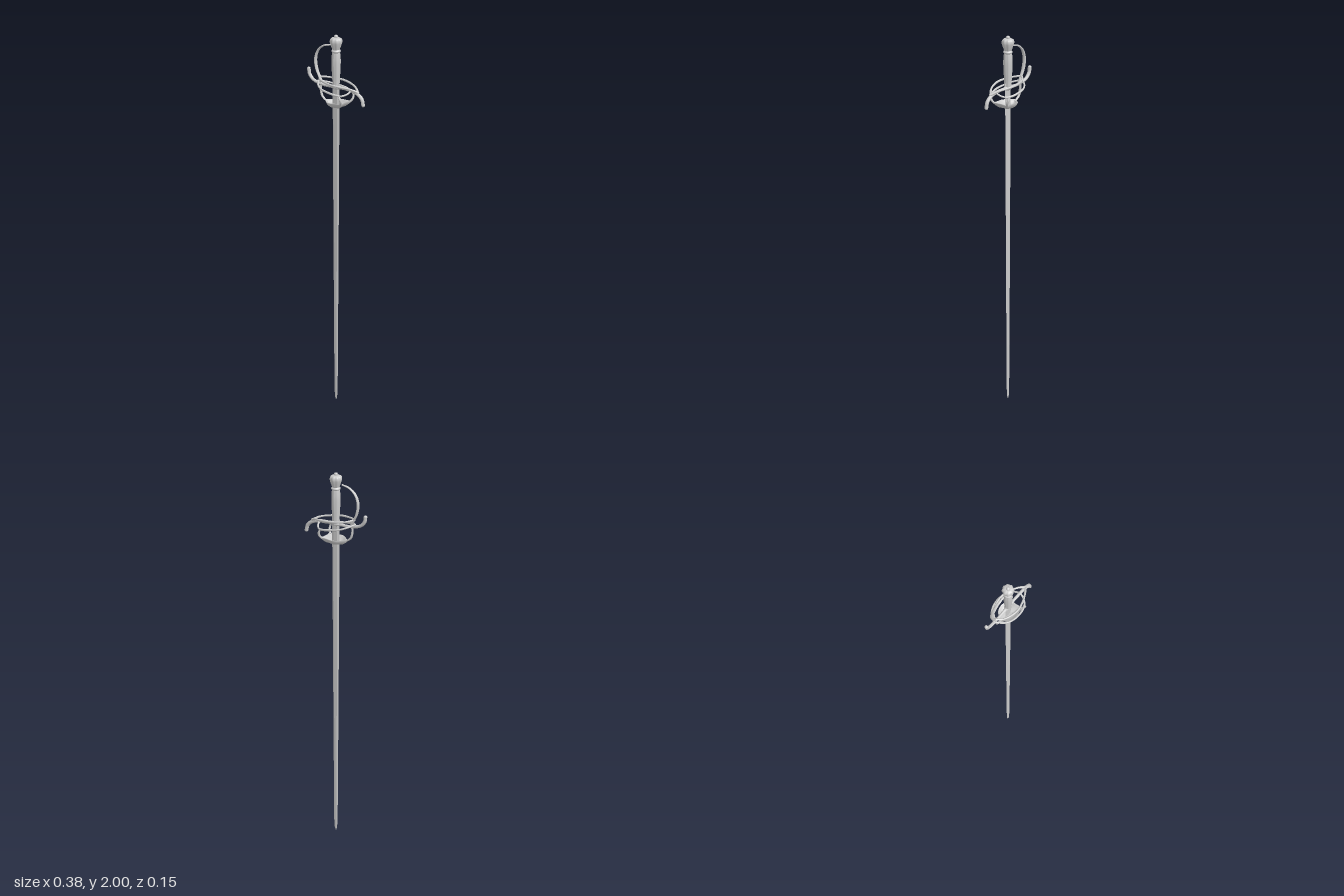
import * as THREE from 'three';

const steel = new THREE.MeshStandardMaterial({ color: 0xcccccc, side: THREE.DoubleSide });
const facetedSteel = new THREE.MeshStandardMaterial({ color: 0xcccccc, flatShading: true });

const V = (p) => new THREE.Vector3(...p);
const mix = (list, t) => {
  const f = t * (list.length - 1), i = Math.min(Math.floor(f), list.length - 2);
  return THREE.MathUtils.lerp(list[i], list[i + 1], f - i);
};

function add(group, name, geometry, material = steel) {
  const mesh = new THREE.Mesh(geometry, material);
  mesh.name = name;
  group.add(mesh);
  return mesh;
}

// Bar swept along points, its radius following a list; flat widens it across z
function bar(group, name, points, radii, flat = 1, segments = 48) {
  const curve = new THREE.CatmullRomCurve3(points.map(V));
  const sides = 10;
  const geo = new THREE.TubeGeometry(curve, segments, 1, sides);
  const pos = geo.attributes.position, v = new THREE.Vector3();
  for (let i = 0; i < pos.count; i++) {
    const t = Math.floor(i / (sides + 1)) / segments;
    const c = curve.getPointAt(t);
    v.fromBufferAttribute(pos, i).sub(c).multiplyScalar(mix(radii, t));
    v.z *= flat;
    v.add(c);
    pos.setXYZ(i, v.x, v.y, v.z);
  }
  geo.computeVertexNormals();
  const mesh = add(group, name, geo);
  // Rounded ends
  [[points[0], radii[0]], [points.at(-1), radii.at(-1)]].forEach(([p, r]) => {
    const end = add(mesh, name + 'End', new THREE.SphereGeometry(r, 12, 8));
    end.position.set(...p);
    end.scale.z = flat;
  });
  return mesh;
}

// Turned part from [radius, y] points, optionally fluted around the axis
function turned(group, name, profile, lobes = 0, depth = 0) {
  const curve = new THREE.SplineCurve(profile.map((p) => new THREE.Vector2(...p)));
  const points = curve.getPoints(40).map((p) => new THREE.Vector2(Math.max(p.x, 0), p.y));
  const geo = new THREE.LatheGeometry(points, 48);
  const pos = geo.attributes.position;
  for (let i = 0; i < pos.count; i++) {
    const x = pos.getX(i), z = pos.getZ(i);
    const k = 1 - depth * (0.5 - 0.5 * Math.cos(lobes * Math.atan2(z, x)));
    pos.setXYZ(i, x * k, pos.getY(i), z * k);
  }
  geo.computeVertexNormals();
  return add(group, name, geo);
}

// Six-sided tapering blade, running up through the guard to the grip
function blade(group) {
  const stations = [[0, 0.001, 0.001], [0.015, 0.007, 0.003], [0.06, 0.0105, 0.004],
    [0.6, 0.015, 0.005], [1.2, 0.0195, 0.006], [1.6, 0.0225, 0.007], [1.74, 0.0235, 0.009]];
  const n = stations.length - 1;
  const geo = new THREE.CylinderGeometry(1, 1, n, 6, n, false, Math.PI / 2);
  const pos = geo.attributes.position;
  for (let i = 0; i < pos.count; i++) {
    const [y, w, t] = stations[Math.round(pos.getY(i) + n / 2)];
    pos.setXYZ(i, pos.getX(i) * w, y, pos.getZ(i) * t);
  }
  add(group, 'blade', geo, facetedSteel);
}

// Leaf-shaped dish, pointed on one side and notched on the other
function shell(group) {
  const half = [[0, 0.052], [0.035, 0.047], [0.064, 0.045], [0.063, 0.025]];
  const back = [[-0.07, 0], [-0.052, 0.02], [-0.03, 0.043]];
  const rimPoints = [...half, [0.06, 0], ...half.slice().reverse().map(([x, z]) => [x, -z]),
    ...back.slice(1).reverse().map(([x, z]) => [x, -z]), ...back];
  const rim = new THREE.CatmullRomCurve3(rimPoints.map(([x, z]) => V([x, 0, z])), true);
  const profile = [[0, 1.602], [0.35, 1.603], [0.65, 1.609], [0.88, 1.62], [1, 1.632],
    [0.97, 1.636], [0.84, 1.627], [0.6, 1.616], [0.3, 1.611], [0, 1.61]];
  const segments = 64;
  const geo = new THREE.LatheGeometry(profile.map((p) => new THREE.Vector2(...p)), segments);
  const pos = geo.attributes.position;
  for (let i = 0; i < pos.count; i++) {
    const [k, y] = profile[i % profile.length];
    const p = rim.getPoint((Math.floor(i / profile.length) % segments) / segments);
    pos.setXYZ(i, p.x * k, y + p.x * 0.05 * k, p.z * k);
  }
  geo.computeVertexNormals();
  add(group, 'shell', geo);
}

export function createModel() {
  const sword = new THREE.Group();
  sword.name = 'sword';

  blade(sword);

  // Grip, collar, fluted pommel and its button
  turned(sword, 'grip', [[0.019, 1.71], [0.02, 1.75], [0.023, 1.8], [0.025, 1.855],
    [0.023, 1.89], [0.02, 1.91]], 8, 0.06);
  turned(sword, 'collar', [[0.018, 1.902], [0.024, 1.907], [0.025, 1.913], [0.019, 1.92]]);
  turned(sword, 'pommel', [[0.018, 1.915], [0.022, 1.925], [0.031, 1.95], [0.034, 1.965],
    [0.03, 1.978], [0.018, 1.985], [0, 1.987]], 8, 0.1);
  turned(sword, 'pommelButton', [[0.009, 1.982], [0.0105, 1.99], [0.008, 1.997], [0, 2]]);

  const guard = new THREE.Group();
  guard.name = 'guard';
  sword.add(guard);

  // Curved crossguard, rising on the right and dropping on the left
  bar(guard, 'crossguard', [[-0.18, 1.782, 0], [-0.175, 1.755, 0], [-0.15, 1.728, 0],
    [-0.085, 1.712, 0], [0, 1.714, 0], [0.09, 1.712, 0], [0.145, 1.698, 0],
    [0.171, 1.675, 0], [0.179, 1.645, 0]], [0.01, 0.009, 0.008, 0.008, 0.01, 0.008, 0.009, 0.01, 0.01], 1, 64);
  const block = add(guard, 'guardBlock', new THREE.SphereGeometry(1, 20, 14));
  block.scale.set(0.027, 0.014, 0.018);
  block.position.y = 1.714;

  // Knuckle bow
  bar(guard, 'knuckleBow', [[-0.04, 1.937, 0], [-0.082, 1.926, 0], [-0.119, 1.894, 0],
    [-0.135, 1.845, 0], [-0.127, 1.79, 0], [-0.108, 1.75, 0], [-0.09, 1.715, 0]],
    [0.004, 0.005, 0.006, 0.007, 0.007, 0.006, 0.006], 1.5);

  // Arm from the crossguard down to the tip of the shell
  bar(guard, 'shellArm', [[-0.1, 1.715, 0], [-0.1, 1.68, 0], [-0.09, 1.648, 0],
    [-0.062, 1.626, 0]], [0.006, 0.006, 0.005], 1.2);

  // Side rings and arms, mirrored front and back
  for (const [side, s] of [['front', 1], ['back', -1]]) {
    bar(guard, side + 'UpperRing', [[-0.112, 1.752, 0], [-0.075, 1.746, s * 0.036],
      [0, 1.74, s * 0.058], [0.06, 1.733, s * 0.048], [0.11, 1.725, s * 0.025],
      [0.145, 1.708, 0]], [0.006, 0.005, 0.006, 0.006, 0.005, 0.007]);
    bar(guard, side + 'LowerRing', [[-0.118, 1.728, 0], [-0.085, 1.716, s * 0.042],
      [-0.05, 1.706, s * 0.062], [0, 1.698, s * 0.07], [0.045, 1.69, s * 0.064],
      [0.075, 1.688, s * 0.05], [0.093, 1.696, s * 0.027], [0.1, 1.71, 0]],
      [0.005, 0.005, 0.005, 0.006, 0.006, 0.005, 0.005]);
    bar(guard, side + 'ShellArm', [[0.062, 1.688, s * 0.058], [0.07, 1.668, s * 0.059],
      [0.07, 1.65, s * 0.052], [0.06, 1.635, s * 0.043]], [0.005, 0.006, 0.006], 1, 24);
  }

  shell(guard);
  return sword;
}
